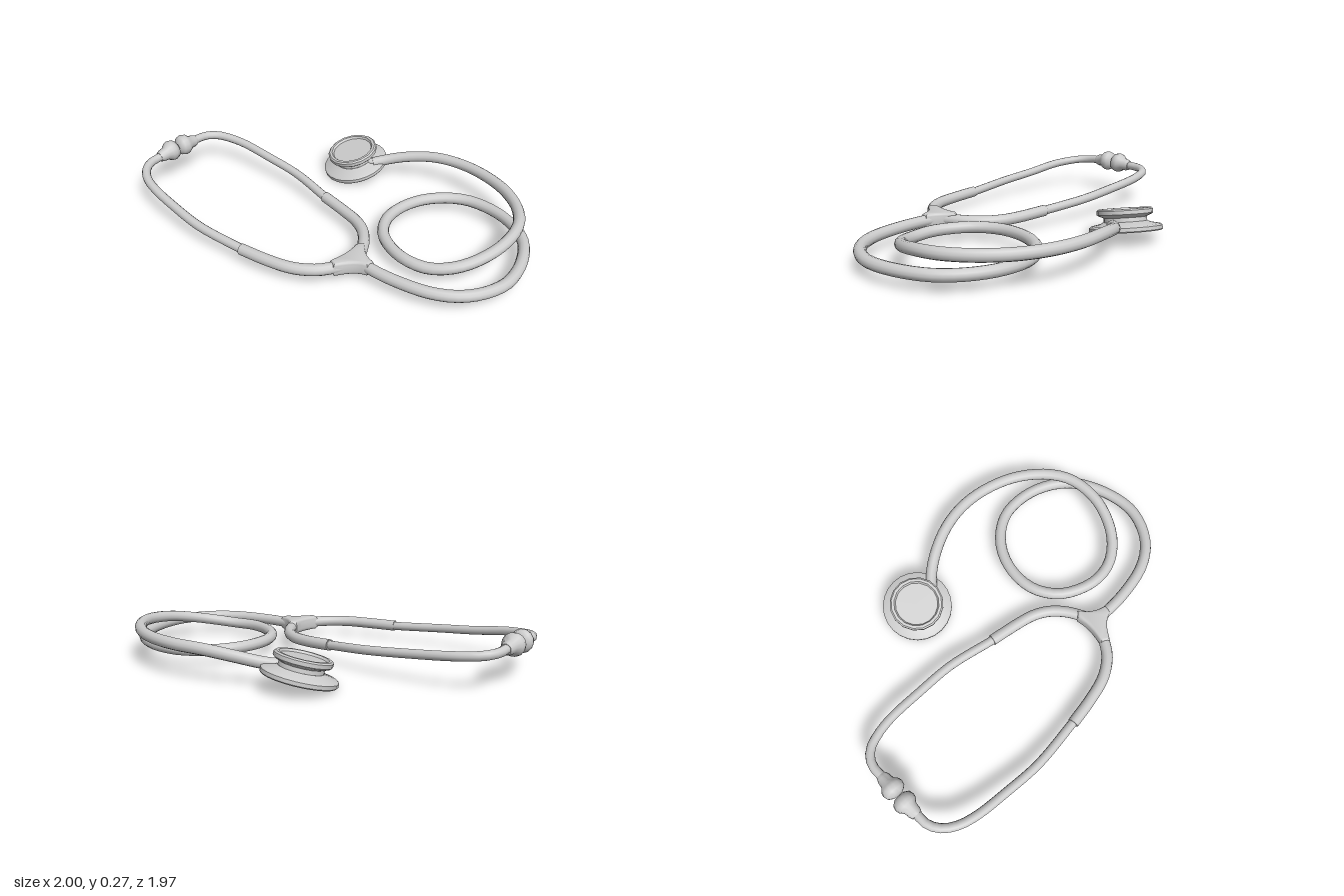
import * as THREE from 'three';
import { toCreasedNormals } from 'three/addons/utils/BufferGeometryUtils.js';

const material = new THREE.MeshStandardMaterial({ color: 0xcccccc });
const UP = new THREE.Vector3(0, 1, 0);
const FRONT = new THREE.Vector3(0, 0, 1);

function mesh(name, geometry) {
  const m = new THREE.Mesh(geometry, material);
  m.name = name;
  return m;
}

// Round hose through [x, y, z] points, closed by a disc at each end
function hose(name, points, radius) {
  const curve = new THREE.CatmullRomCurve3(points.map(p => new THREE.Vector3(...p)));
  const group = new THREE.Group();
  group.name = name;
  group.add(mesh(name + 'Tube', new THREE.TubeGeometry(curve, points.length * 3, radius, 12)));
  for (const t of [0, 1]) {
    const cap = mesh(name + 'Cap', new THREE.CircleGeometry(radius, 12));
    cap.position.copy(curve.getPointAt(t));
    cap.quaternion.setFromUnitVectors(FRONT, curve.getTangentAt(t).multiplyScalar(t ? 1 : -1));
    group.add(cap);
  }
  return group;
}

// Turned part from [radius, height] pairs
function turned(name, profile, sides, crease) {
  const lathe = new THREE.LatheGeometry(profile.map(p => new THREE.Vector2(...p)), sides);
  return mesh(name, toCreasedNormals(lathe, crease));
}

// Soft ear tip, starting at `from` and pointing towards `to`
function earTip(name, from, to) {
  const tip = turned(name, [
    [0, 0], [0.03, 0], [0.038, 0.02], [0.041, 0.05], [0.06, 0.075],
    [0.065, 0.095], [0.058, 0.122], [0.035, 0.138], [0, 0.142]
  ], 14, 0.9);
  const a = new THREE.Vector3(...from);
  tip.position.copy(a);
  tip.quaternion.setFromUnitVectors(UP, new THREE.Vector3(...to).sub(a).normalize());
  return tip;
}

export function createModel() {
  const model = new THREE.Group();
  model.name = 'stethoscope';
  const thick = 0.033, thin = 0.026, low = 0.09;

  // Long hose: outer sweep, one full coil, then up and over to the chest piece
  const sweep = [
    [-0.04, 0.48], [0, 0.58], [0.08, 0.71], [0.2, 0.85], [0.32, 0.925], [0.45, 0.95],
    [0.6, 0.925], [0.75, 0.82], [0.87, 0.66], [0.905, 0.52], [0.895, 0.38], [0.85, 0.26],
    [0.78, 0.165], [0.67, 0.1], [0.53, 0.075], [0.38, 0.105], [0.26, 0.18], [0.185, 0.3],
    [0.17, 0.42], [0.2, 0.56], [0.28, 0.67]
  ].map(([x, z]) => [x, low, z]);
  model.add(hose('mainHose', [
    ...sweep,
    [0.4, 0.108, 0.735], [0.54, 0.135, 0.75], [0.7, 0.165, 0.715], [0.85, 0.183, 0.615],
    [0.93, 0.188, 0.48], [0.965, 0.188, 0.29], [0.94, 0.188, 0.1], [0.87, 0.188, -0.07],
    [0.76, 0.182, -0.21], [0.62, 0.155, -0.32], [0.5, 0.125, -0.38], [0.42, 0.11, -0.4]
  ], thick));

  // Soft arms of the fork
  model.add(hose('rightArmHose', [
    [-0.06, low, 0.49], [-0.18, low, 0.49], [-0.28, low, 0.475], [-0.39, low, 0.415],
    [-0.49, low, 0.31], [-0.6, low + 0.002, 0.165]
  ], thick));
  model.add(hose('leftArmHose', [
    [-0.04, low, 0.48], [0, low, 0.42], [0.05, low, 0.34], [0.085, low, 0.24],
    [0.088, low, 0.14], [0.06, 0.093, 0.03], [0, 0.104, -0.14]
  ], thick));

  // Rigid ear tubes
  model.add(hose('rightEarTube', [
    [-0.57, low, 0.205], [-0.6, 0.092, 0.16], [-0.77, 0.114, -0.09], [-0.87, 0.138, -0.3],
    [-0.95, 0.168, -0.49], [-0.973, 0.18, -0.6], [-0.962, 0.19, -0.69],
    [-0.92, 0.197, -0.755], [-0.84, 0.203, -0.8]
  ], thin));
  model.add(hose('leftEarTube', [
    [0.02, 0.1, -0.09], [0, 0.104, -0.14], [-0.09, 0.131, -0.41], [-0.2, 0.153, -0.62],
    [-0.31, 0.175, -0.81], [-0.38, 0.185, -0.895], [-0.45, 0.193, -0.95],
    [-0.53, 0.2, -0.962], [-0.64, 0.205, -0.91]
  ], thin));

  // Ear tips face each other across a small gap
  model.add(earTip('rightEarTip', [-0.865, 0.2, -0.79], [-0.74, 0.212, -0.86]));
  model.add(earTip('leftEarTip', [-0.61, 0.202, -0.925], [-0.735, 0.212, -0.86]));

  // Moulded web where the three hoses meet
  const web = new THREE.Shape();
  web.moveTo(-0.18, 0.475);
  web.quadraticCurveTo(-0.07, 0.45, -0.01, 0.395);
  web.lineTo(0.015, 0.4);
  web.quadraticCurveTo(-0.02, 0.48, 0, 0.55);
  web.lineTo(-0.025, 0.56);
  web.quadraticCurveTo(-0.07, 0.51, -0.18, 0.505);
  web.closePath();
  const webGeometry = new THREE.ExtrudeGeometry(web, {
    depth: 0.035, curveSegments: 6, bevelThickness: 0.024, bevelSize: 0.015, bevelSegments: 4
  });
  webGeometry.rotateX(Math.PI / 2);
  const fork = mesh('forkWeb', toCreasedNormals(webGeometry, 0.7));
  fork.position.y = low + 0.0175;
  model.add(fork);

  // Chest piece: dished diaphragm below, narrow waist, smaller rimmed disc above
  const chest = new THREE.Group();
  chest.name = 'chestPiece';
  chest.add(turned('diaphragm', [
    [0, 0.012], [0.018, 0.012], [0.024, 0.026], [0.1, 0.022], [0.165, 0.012], [0.18, 0],
    [0.2, 0], [0.205, 0.006], [0.205, 0.026], [0.195, 0.034], [0.14, 0.046], [0.122, 0.055]
  ], 24, 0.5));
  chest.add(turned('bell', [
    [0.122, 0.055], [0.12, 0.078], [0.148, 0.09], [0.157, 0.098], [0.157, 0.119],
    [0.148, 0.127], [0.132, 0.127], [0.124, 0.114], [0, 0.114]
  ], 16, 0.5));
  chest.position.set(0.35, 0.052, -0.51);
  chest.rotation.z = 0.253;
  model.add(chest);

  // Short metal stem from the waist into the hose
  model.add(hose('stem', [[0.37, 0.115, -0.45], [0.41, 0.113, -0.41], [0.47, 0.12, -0.39]], 0.024));
  return model;
}
